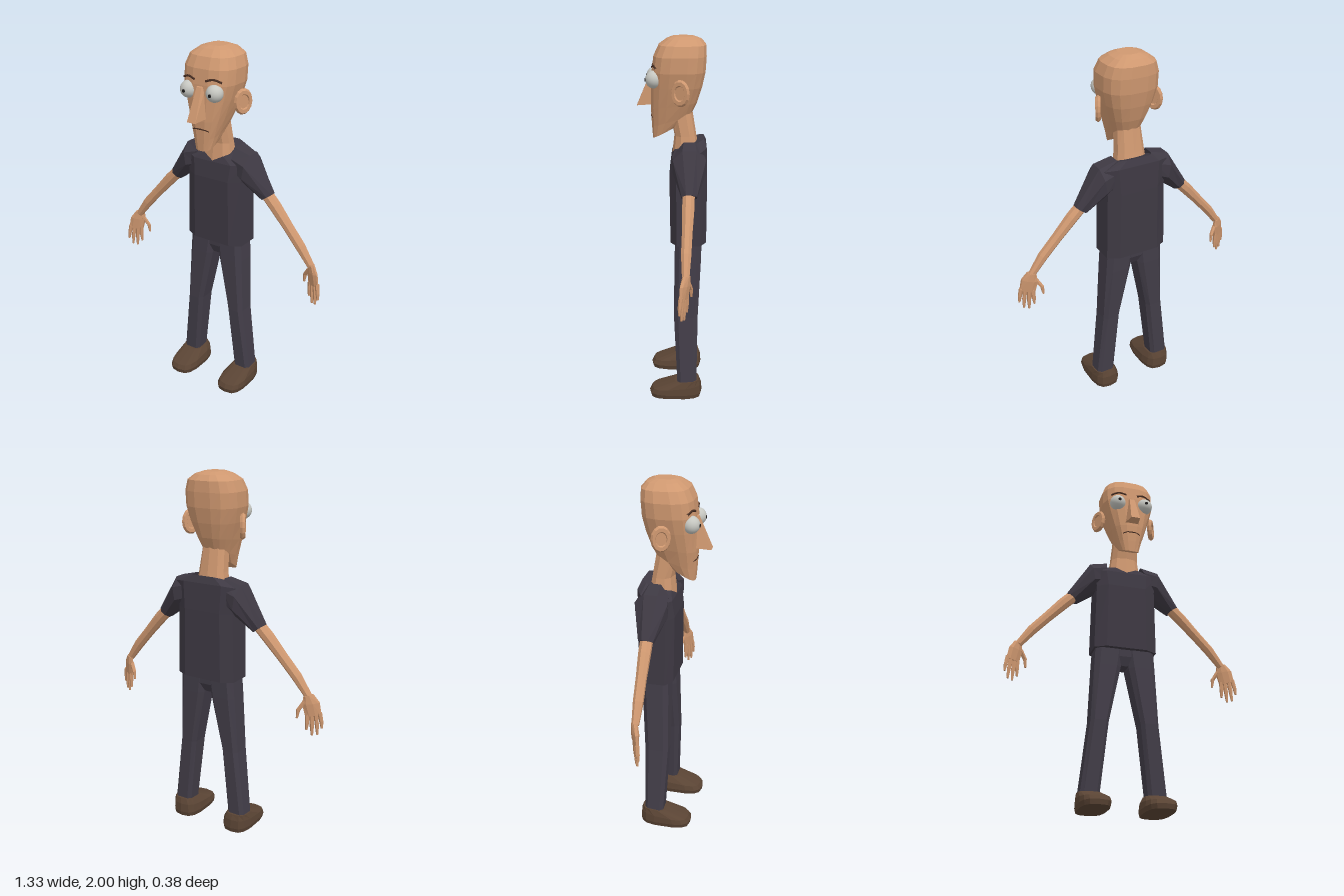
import * as THREE from 'three';

const mat = (name, color) => Object.assign(new THREE.MeshStandardMaterial({ color }), { name });

// superellipse ring in a (possibly tilted) horizontal plane
function ring(cx, w, zF, zB, yF, yB = yF, n = 8, e = 4) {
  const f = (v) => Math.sign(v) * Math.abs(v) ** (2 / e);
  const max = f(Math.cos(Math.PI / n));
  return Array.from({ length: n }, (_, i) => {
    const t = ((i + 0.5) / n) * Math.PI * 2;
    const k = f(Math.sin(t)) / max;
    return [cx + (w * f(Math.cos(t))) / max, (yF + yB) / 2 + (k * (yF - yB)) / 2, (zF + zB) / 2 + (k * (zF - zB)) / 2];
  });
}

// elliptical ring spanning from p to q, with half depth dz
function span(p, q, dz, n = 8) {
  return Array.from({ length: n }, (_, i) => {
    const t = ((i + 0.5) / n) * Math.PI * 2;
    const c = Math.cos(t), s = Math.sin(t);
    return p.map((v, k) => (v + q[k]) / 2 + ((v - q[k]) / 2) * c + (k === 2 ? dz * s : 0));
  });
}

// closed faceted skin through rings of points, turned outward by its volume
function loft(rings, side = 1) {
  const tris = [];
  const n = rings[0].length;
  const mid = (r) => [0, 1, 2].map((k) => r.reduce((a, p) => a + p[k], 0) / n);
  const first = rings[0], last = rings[rings.length - 1];
  for (let j = 0; j < n; j++) {
    const j2 = (j + 1) % n;
    for (let i = 0; i < rings.length - 1; i++) {
      const a = rings[i], b = rings[i + 1];
      tris.push([a[j], b[j], a[j2]], [a[j2], b[j], b[j2]]);
    }
    tris.push([mid(first), first[j], first[j2]], [mid(last), last[j2], last[j]]);
  }
  const vecs = tris.map((t) => t.map((p) => new THREE.Vector3(p[0] * side, p[1], p[2])));
  const volume = vecs.reduce((s, [a, b, c]) => s + a.dot(b.clone().cross(c)), 0);
  const pts = vecs.flatMap(([a, b, c]) => (volume < 0 ? [a, c, b] : [a, b, c]));
  const g = new THREE.BufferGeometry().setFromPoints(pts);
  g.computeVertexNormals();
  return g;
}

// round limb lying roughly in the xy plane: stations of [x, y, z, radius]
function limb(stations, side, n = 8, squash = 1) {
  return loft(stations.map(([x, y, z, r], i) => {
    const a = stations[Math.max(i - 1, 0)], b = stations[Math.min(i + 1, stations.length - 1)];
    const dx = b[0] - a[0], dy = b[1] - a[1], l = Math.hypot(dx, dy);
    const ux = (-dy / l) * r, uy = (dx / l) * r;
    return span([x + ux, y + uy, z], [x - ux, y - uy, z], r * squash, n);
  }), side);
}

function facet(g) {
  const f = g.toNonIndexed();
  f.computeVertexNormals();
  return f;
}

export function createModel() {
  const skin = mat('skin', 0xcf9870);
  const shirt = mat('shirt cloth', 0x3e3943);
  const pants = mat('trouser cloth', 0x423d48);
  const shoe = mat('shoe leather', 0x5a4434);
  const white = mat('eye white', 0xc6c7c1);
  const black = mat('pupil black', 0x1c1a1a);
  const brown = mat('brow brown', 0x4a3024);

  const model = new THREE.Group();
  model.name = 'standing man';
  const add = (name, geo, m) => {
    const mesh = new THREE.Mesh(geo, m);
    mesh.name = name;
    model.add(mesh);
    return mesh;
  };
  const line = (pts, r, side = 1) => new THREE.TubeGeometry(
    new THREE.CatmullRomCurve3(pts.map(([x, y, z]) => new THREE.Vector3(x * side, y, z))), 10, r, 5);

  // head: half width, front z, back z, front y, back y
  add('head', loft([
    [0.053, 0.105, -0.02, 1.465, 1.53],
    [0.072, 0.11, -0.1, 1.53, 1.595],
    [0.1, 0.115, -0.13, 1.63, 1.66],
    [0.13, 0.112, -0.155, 1.74, 1.74],
    [0.15, 0.11, -0.172, 1.82, 1.82],
    [0.151, 0.1, -0.177, 1.9, 1.9],
    [0.132, 0.073, -0.174, 1.957, 1.957],
    [0.092, 0.03, -0.15, 1.988, 1.985],
    [0.05, 0, -0.11, 2, 2],
  ].map(([w, f, b, yf, yb]) => ring(0, w, f, b, yf, yb, 16, 2.8))), skin);
  add('neck', loft([
    ring(0, 0.09, 0, -0.14, 1.37, 1.4, 10, 2.5),
    ring(0, 0.077, -0.012, -0.125, 1.48, 1.48, 10, 2.5),
    ring(0, 0.066, 0.02, -0.1, 1.63, 1.63, 10, 2.5),
  ]), skin);
  add('nose', loft([
    [[0.042, 1.65, 0.09], [0.026, 1.64, 0.19], [-0.026, 1.64, 0.19], [-0.042, 1.65, 0.09]],
    [[0.026, 1.82, 0.09], [0.015, 1.81, 0.118], [-0.015, 1.81, 0.118], [-0.026, 1.82, 0.09]],
  ]), skin);
  add('mouth', line([[-0.05, 1.578, 0.1], [-0.03, 1.586, 0.11], [0, 1.587, 0.113], [0.03, 1.586, 0.11], [0.05, 1.578, 0.1]], 0.004), brown);

  // shirt body with a dipping neckline
  add('shirtBody', loft([
    ring(0, 0.178, 0.01, -0.185, 0.9),
    ring(0, 0.17, 0.016, -0.186, 1.28),
    ring(0, 0.185, 0.004, -0.182, 1.375, 1.43),
    ring(0, 0.1, -0.012, -0.168, 1.41, 1.468),
  ]), shirt);

  // pelvis between the legs
  add('pelvis', loft([
    ring(0, 0.025, -0.04, -0.13, 0.81),
    ring(0, 0.09, -0.02, -0.155, 0.86),
    ring(0, 0.163, -0.015, -0.16, 0.93),
  ]), pants);

  for (const [s, label] of [[1, 'left'], [-1, 'right']]) {
    // face details
    const eye = add(label + 'Eye', new THREE.SphereGeometry(0.046, 20, 14), white);
    eye.position.set(s * 0.081, 1.785, 0.096);
    const pupil = add(label + 'Pupil', new THREE.CylinderGeometry(0.009, 0.009, 0.004, 12).rotateX(Math.PI / 2), black);
    pupil.position.set(s * 0.081, 1.783, 0.1415);
    add(label + 'Brow', line([[0.032, 1.843, 0.107], [0.075, 1.855, 0.1], [0.118, 1.842, 0.084]], 0.006, s), brown);

    // ear: oval rim around a thin plate
    const ear = new THREE.Group();
    ear.name = label + 'Ear';
    const rim = new THREE.Mesh(facet(new THREE.TorusGeometry(0.039, 0.015, 6, 14).scale(1, 1.3, 1)), skin);
    rim.name = 'earRim';
    const plate = new THREE.Mesh(facet(new THREE.CylinderGeometry(0.04, 0.04, 0.012, 14).rotateX(Math.PI / 2).scale(1, 1.3, 1)), skin);
    plate.name = 'earPlate';
    ear.add(rim, plate);
    ear.position.set(s * 0.163, 1.725, -0.042);
    ear.rotation.y = s * 1.08;
    model.add(ear);

    // sleeve
    add(label + 'Sleeve', loft([
      span([0.1, 1.465, -0.09], [0.14, 1.27, -0.09], 0.08),
      span([0.205, 1.44, -0.09], [0.175, 1.255, -0.09], 0.095),
      span([0.335, 1.235, -0.09], [0.268, 1.188, -0.09], 0.043),
    ], s), shirt);

    // arm
    add(label + 'Arm', limb([
      [0.27, 1.25, -0.088, 0.034], [0.35, 1.17, -0.085, 0.034], [0.44, 1.07, -0.08, 0.029],
      [0.52, 0.98, -0.075, 0.028], [0.59, 0.885, -0.073, 0.02],
    ], s), skin);

    // hand, slanting forward towards its outer edge
    const slant = (x) => -0.042 - (0.66 - x) * 0.5;
    const across = (x1, y1, x2, y2, d) => span([x1, y1, slant(x1)], [x2, y2, slant(x2)], d);
    add(label + 'Palm', loft([
      across(0.568, 0.89, 0.612, 0.9, 0.018),
      across(0.562, 0.845, 0.643, 0.855, 0.02),
      across(0.578, 0.775, 0.655, 0.79, 0.014),
    ], s), skin);
    const digits = [
      [0.572, 0.855, 0.545, 0.81, 0.54, 0.765],
      [0.588, 0.79, 0.588, 0.74, 0.586, 0.7],
      [0.607, 0.79, 0.611, 0.72, 0.613, 0.67],
      [0.627, 0.79, 0.634, 0.73, 0.638, 0.675],
      [0.645, 0.8, 0.654, 0.75, 0.658, 0.712],
    ];
    digits.forEach((d, i) => add(label + (i ? 'Finger' + i : 'Thumb'), limb([
      [d[0], d[1], slant(d[0]), 0.012], [d[2], d[3], slant(d[2]), 0.011], [d[4], d[5], slant(d[4]), 0.006],
    ], s, 6), skin));

    // trouser leg
    add(label + 'Leg', loft([
      ring(0.182, 0.052, -0.03, -0.138, 0.09),
      ring(0.139, 0.05, -0.01, -0.142, 0.48),
      ring(0.098, 0.075, -0.012, -0.157, 0.8),
      ring(0.086, 0.08, -0.015, -0.16, 0.92),
    ], s), pants);

    // shoe
    add(label + 'Shoe', loft([
      ring(0.172, 0.076, 0.12, -0.16, 0, 0, 14, 3),
      ring(0.172, 0.082, 0.125, -0.166, 0.025, 0.025, 14, 3),
      ring(0.174, 0.077, 0.11, -0.163, 0.048, 0.075, 14, 3),
      ring(0.18, 0.06, -0.015, -0.152, 0.095, 0.106, 14, 3),
    ], s), shoe);
  }
  return model;
}
